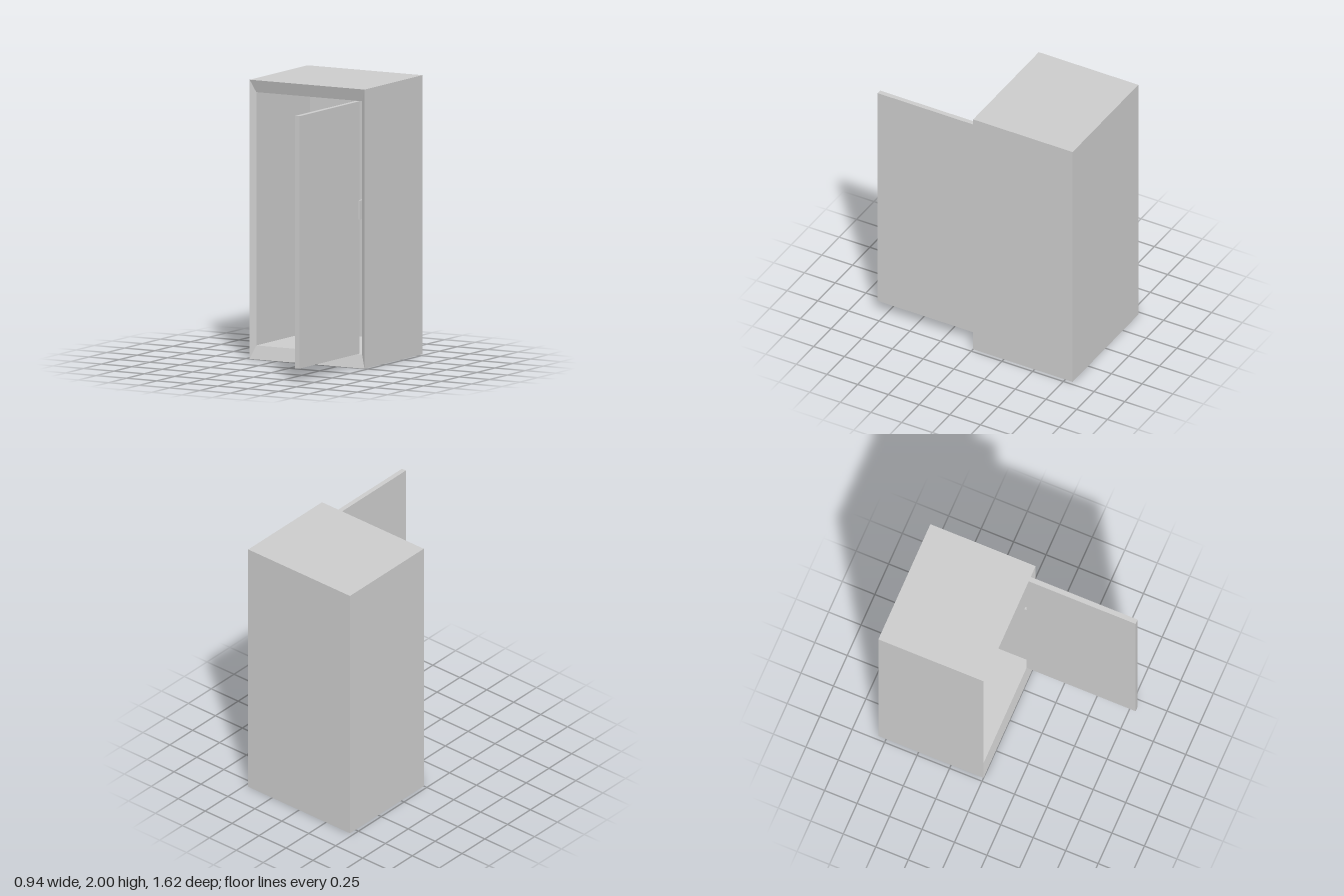
import * as THREE from 'three';

const material = new THREE.MeshStandardMaterial({ color: 0xcccccc, flatShading: true });

// Rectangular cross-section, counter-clockwise as seen from the front
const ring = (halfWidth, bottom, top, z) => [
  [-halfWidth, bottom, z], [halfWidth, bottom, z], [halfWidth, top, z], [-halfWidth, top, z],
];

// Skin a series of four-cornered rings and close both ends
function loft(rings) {
  const positions = [];
  const quad = (a, b, c, d) => positions.push(...a, ...b, ...c, ...a, ...c, ...d);
  for (let i = 0; i < rings.length - 1; i++) {
    const near = rings[i], far = rings[i + 1];
    for (let k = 0; k < 4; k++) {
      const n = (k + 1) % 4;
      quad(near[k], near[n], far[n], far[k]);
    }
  }
  const first = rings[0], last = rings[rings.length - 1];
  quad(first[3], first[2], first[1], first[0]);
  quad(last[0], last[1], last[2], last[3]);
  const geometry = new THREE.BufferGeometry();
  geometry.setAttribute('position', new THREE.Float32BufferAttribute(positions, 3));
  geometry.computeVertexNormals();
  return geometry;
}

// Box given by its limits on each axis
function block(name, [x0, x1], [y0, y1], [z0, z1]) {
  const mesh = new THREE.Mesh(new THREE.BoxGeometry(x1 - x0, y1 - y0, z1 - z0), material);
  mesh.position.set((x0 + x1) / 2, (y0 + y1) / 2, (z0 + z1) / 2);
  mesh.name = name;
  return mesh;
}

export function createModel() {
  const model = new THREE.Group();
  model.name = 'cabinet';

  // Hollow body: outer shell, bevelled front rim, then the inner walls and back
  const body = new THREE.Mesh(loft([
    ring(0.472, 0, 2, -0.81),
    ring(0.472, 0, 2, 0),
    ring(0.435, 0.095, 1.91, -0.03),
    ring(0.435, 0.095, 1.91, -0.78),
  ]), material);
  body.name = 'body';
  model.add(body);

  // Door standing open at a right angle, and the small catch beside its hinge edge
  model.add(block('door', [0.378, 0.414], [0.1, 1.908], [-0.03, 0.81]));
  model.add(block('doorCatch', [0.41, 0.43], [1.065, 1.2], [-0.06, -0.01]));

  return model;
}
